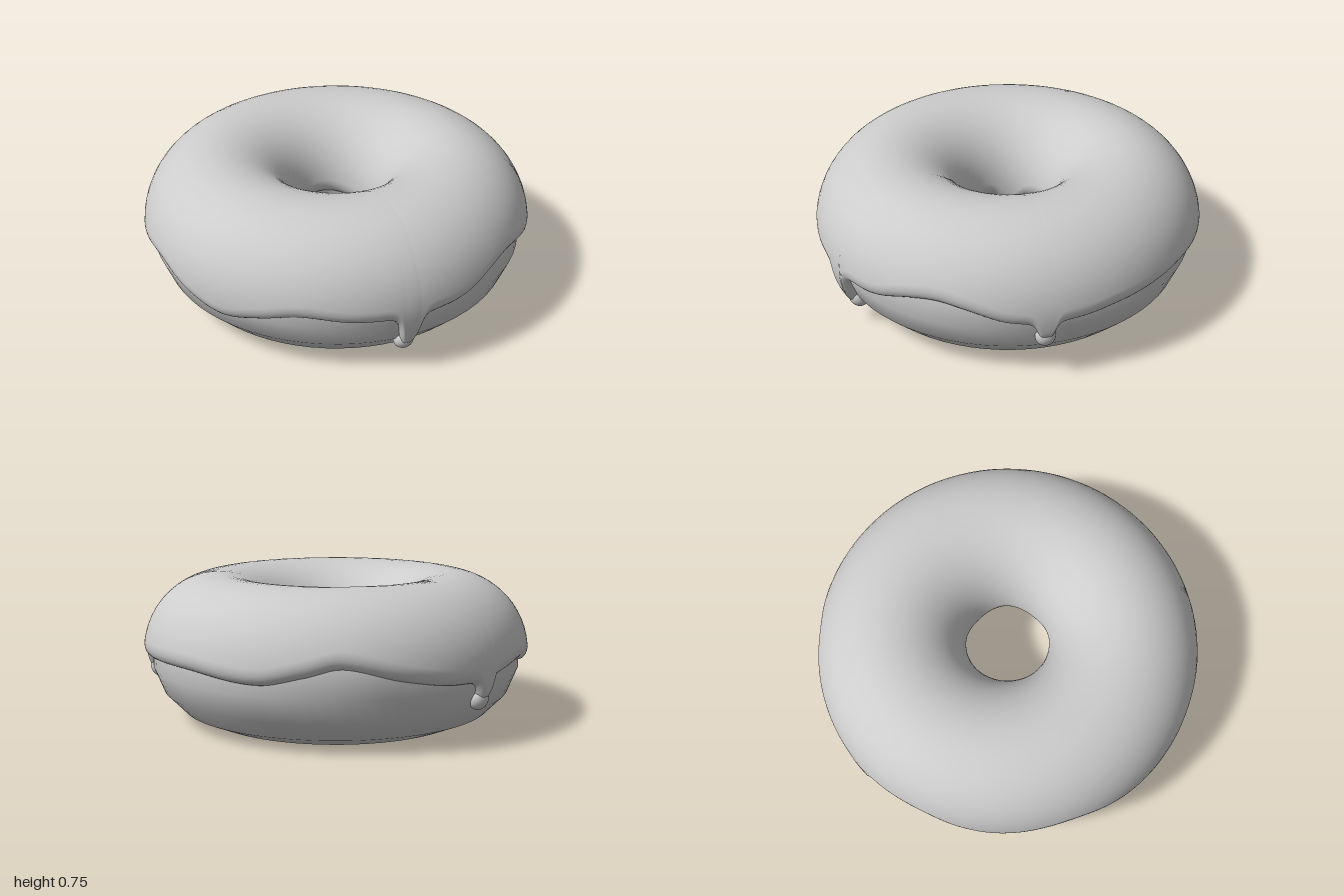
import * as THREE from 'three';

const RING = 0.605, MID = 0.35, RX = 0.352, RY = 0.357; // dough ring and its section
const THICK = 0.04, LIP = 0.075;                        // icing thickness and rolled edge
const TAU = Math.PI * 2;

// Icing edge heights as [degrees round from the front, height]
const OUTER = [[0, 0.25], [12, 0.295], [24, 0.34], [40, 0.315], [62, 0.315], [72, 0.33], [84, 0.39], [93, 0.41],
  [102, 0.385], [114, 0.33], [132, 0.325], [145, 0.345], [170, 0.36], [195, 0.335], [208, 0.38], [219, 0.42],
  [236, 0.355], [254, 0.31], [272, 0.33], [287, 0.35], [298, 0.31], [309, 0.29], [332, 0.35], [348, 0.285]];
const INNER = [[0, 0.3], [45, 0.34], [90, 0.3], [135, 0.33], [180, 0.29], [225, 0.33], [265, 0.31], [290, 0.245], [315, 0.31]];
// Drips as [degrees, height of the tip]
const DRIPS = [[55, 0.09], [123.5, 0.19], [264, 0.17]];

// Smooth periodic interpolation through the edge points
function heightAt(table, deg) {
  const n = table.length;
  let i = n - 1;
  while (table[i][0] > deg) i--;
  const get = (k) => {
    const w = Math.floor(k / n);
    const [d, h] = table[k - w * n];
    return [d + w * 360, h];
  };
  const [p0, p1, p2, p3] = [get(i - 1), get(i), get(i + 1), get(i + 2)];
  const span = p2[0] - p1[0], u = (deg - p1[0]) / span;
  const m1 = (p2[1] - p0[1]) / (p2[0] - p0[0]) * span;
  const m2 = (p3[1] - p1[1]) / (p3[0] - p1[0]) * span;
  const u2 = u * u, u3 = u2 * u;
  return (2 * u3 - 3 * u2 + 1) * p1[1] + (u3 - 2 * u2 + u) * m1 + (3 * u2 - 2 * u3) * p2[1] + (u3 - u2) * m2;
}

function outerEdge(deg) {
  let h = heightAt(OUTER, deg);
  for (const [at, tip] of DRIPS) {
    const d = Math.abs(deg - at) / 2.5;
    h -= (heightAt(OUTER, at) - tip - 0.03) / (1 + d ** 4);
  }
  return h;
}

const sectionAngle = (h) => Math.asin((h - MID) / RY);

// Point on the dough at azimuth a and section angle t, lifted by off
function surfacePoint(a, t, off) {
  const r = RING + (RX + off) * Math.cos(t);
  return new THREE.Vector3(r * Math.sin(a), MID + (RY + off) * Math.sin(t), r * Math.cos(a));
}

function doughGeometry() {
  const profile = [];
  for (let k = 0; k <= 16; k++) {
    const t = (k + 4.5) / 16 * TAU;
    profile.push(new THREE.Vector2(RING + RX * Math.cos(t), MID + RY * Math.sin(t)));
  }
  return new THREE.LatheGeometry(profile, 72);
}

// Shell swept round the ring, with rounded lips at both edges
function icingGeometry() {
  const AROUND = 600, LIPS = 8, SPAN = 26, ROW = LIPS * 2 + SPAN + 1;
  const pos = [], index = [];
  const lipAngle = LIP / RX;
  for (let i = 0; i < AROUND; i++) {
    const deg = i / AROUND * 360, a = deg / 360 * TAU;
    const start = sectionAngle(outerEdge(deg));
    const end = Math.PI - sectionAngle(heightAt(INNER, deg));
    for (let j = 0; j < ROW; j++) {
      const fromEnd = ROW - 1 - j;
      const k = Math.min(j, fromEnd, LIPS) / LIPS * Math.PI / 2;
      const roll = lipAngle * (1 - Math.cos(k));
      let t;
      if (j <= LIPS) t = start + roll;
      else if (fromEnd <= LIPS) t = end - roll;
      else t = THREE.MathUtils.lerp(start + lipAngle, end - lipAngle, (j - LIPS) / SPAN);
      pos.push(...surfacePoint(a, t, -0.012 + (THICK + 0.012) * Math.sin(k)).toArray());
      if (j < ROW - 1) {
        const p = i * ROW + j, q = ((i + 1) % AROUND) * ROW + j;
        index.push(p, q, q + 1, p, q + 1, p + 1);
      }
    }
  }
  const geo = new THREE.BufferGeometry();
  geo.setAttribute('position', new THREE.Float32BufferAttribute(pos, 3));
  geo.setIndex(index);
  geo.computeVertexNormals();
  return geo;
}

export function createModel() {
  const model = new THREE.Group();
  model.name = 'donut';
  const grey = new THREE.MeshStandardMaterial({ color: 0xcccccc });
  grey.name = 'plain grey';

  const add = (name, geo) => {
    const mesh = new THREE.Mesh(geo, grey);
    mesh.name = name;
    model.add(mesh);
    return mesh;
  };

  add('dough', doughGeometry());
  add('icing', icingGeometry());

  // Round beads at the ends of the drips
  const bead = new THREE.SphereGeometry(1, 24, 16);
  for (const [deg, tip] of DRIPS) {
    const a = deg / 360 * TAU, t = sectionAngle(tip + 0.045);
    const mesh = add('dripBead', bead);
    mesh.position.copy(surfacePoint(a, t, 0));
    mesh.rotation.set(-t, a, 0, 'YXZ');
    mesh.scale.set(0.05, 0.055, 0.045);
  }
  return model;
}
